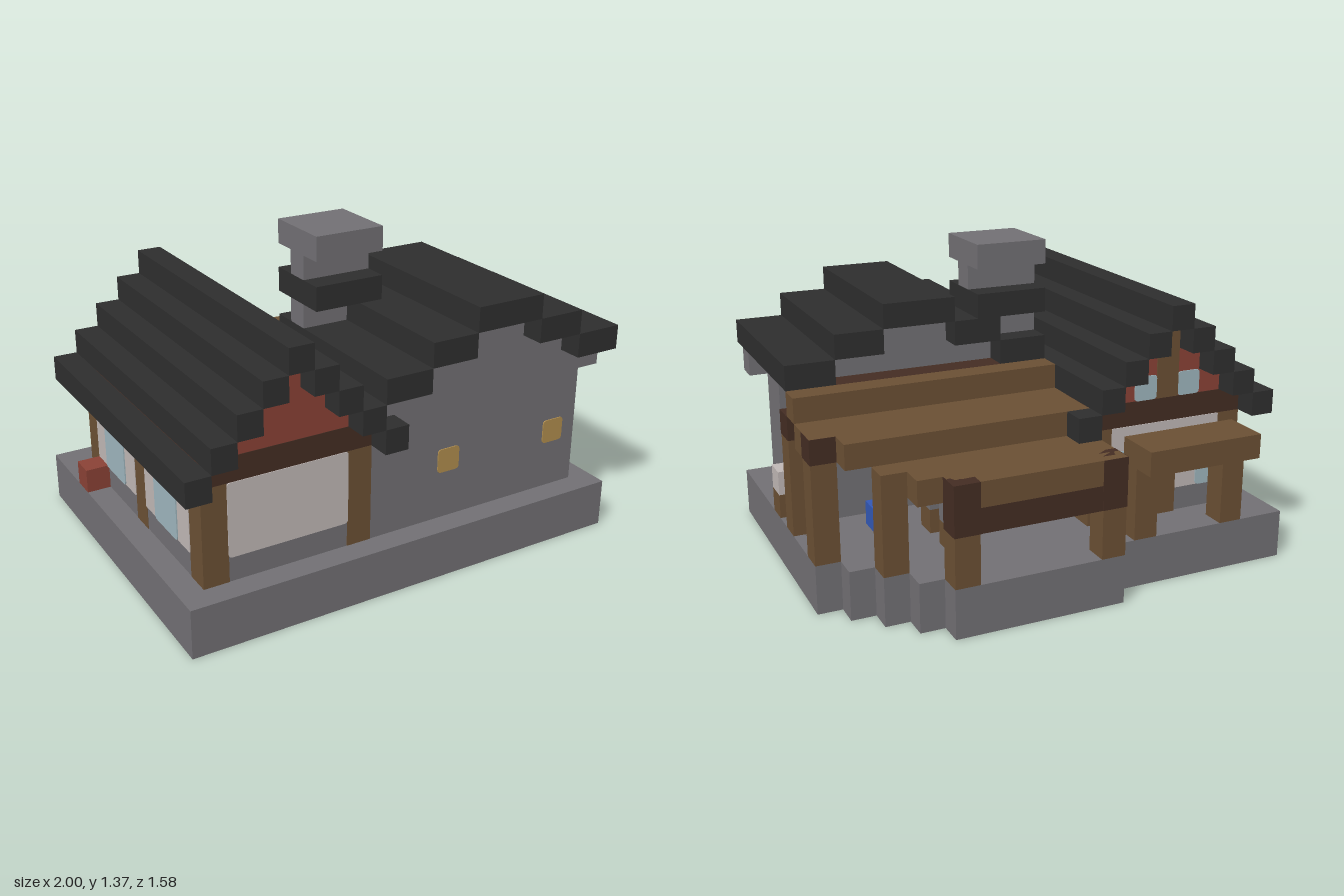
import * as THREE from 'three';

const U = 2 / 19; // one building block
const X = i => (i - 9.5) * U, Z = k => (k - 7.5) * U;

function material(name, color) {
  const m = new THREE.MeshStandardMaterial({ color });
  m.name = name;
  return m;
}

export function createModel() {
  const model = new THREE.Group();
  model.name = 'cottage';
  const slate = material('roof black', 0x2e2e2e);
  const wood = material('wood brown', 0x6b5034);
  const dark = material('dark wood', 0x442d23);
  const stone = material('stone grey', 0x727074);
  const shade = material('dark stone', 0x4d4d52);
  const white = material('plaster white', 0xc0b8b6);
  const red = material('brick red', 0x8a4236);
  const gold = material('lamp gold', 0xb08d4e);
  const glass = material('glass blue', 0x9fb6be);
  const blue = material('bright blue', 0x3358b6);

  const add = (name, geo, mat) => {
    const m = new THREE.Mesh(geo, mat);
    m.name = name;
    model.add(m);
    return m;
  };
  // Box given by its block ranges in x (i), y (j) and z (k); g grows it slightly
  const box = (name, mat, i0, i1, j0, j1, k0, k1, g = 0) => {
    const m = add(name, new THREE.BoxGeometry((i1 - i0) * U + g, (j1 - j0) * U, (k1 - k0) * U + g), mat);
    m.position.set((X(i0) + X(i1)) / 2, (j0 + j1) / 2 * U, (Z(k0) + Z(k1)) / 2);
    return m;
  };
  // Thin rounded plate on a wall; a runs along x or z, at is the wall plane
  const plate = (name, mat, side, a0, a1, j0, j1, at, r = 0.016) => {
    const w = (a1 - a0) * U / 2, h = (j1 - j0) * U / 2;
    const s = new THREE.Shape();
    s.moveTo(-w + r, -h);
    s.lineTo(w - r, -h); s.quadraticCurveTo(w, -h, w, -h + r);
    s.lineTo(w, h - r); s.quadraticCurveTo(w, h, w - r, h);
    s.lineTo(-w + r, h); s.quadraticCurveTo(-w, h, -w, h - r);
    s.lineTo(-w, -h + r); s.quadraticCurveTo(-w, -h, -w + r, -h);
    const geo = new THREE.ExtrudeGeometry(s, { depth: 0.005, bevelEnabled: false, curveSegments: 3 });
    const m = add(name, geo, mat);
    const mid = (a0 + a1) / 2, y = (j0 + j1) / 2 * U;
    if (side === 'front') m.position.set(X(mid), y, Z(at));
    if (side === 'back') { m.position.set(X(mid), y, Z(at)); m.rotation.y = Math.PI; }
    if (side === 'left') { m.position.set(X(at), y, Z(mid)); m.rotation.y = Math.PI / 2; }
    if (side === 'right') { m.position.set(X(at), y, Z(mid)); m.rotation.y = -Math.PI / 2; }
  };

  // Foundation with a stepped rear corner
  const outline = [[0, 15], [19, 15], [19, 4], [18, 4], [18, 3], [17, 3], [17, 2], [16, 2],
    [16, 1], [15, 1], [15, 0], [8, 0], [8, 1], [0, 1]];
  const baseShape = new THREE.Shape(outline.map(([i, k]) => new THREE.Vector2(X(i), -Z(k))));
  const baseGeo = new THREE.ExtrudeGeometry(baseShape, { depth: 2 * U, bevelEnabled: false });
  add('foundation', baseGeo.rotateX(-Math.PI / 2), stone);

  // Timber-framed wing
  box('wingWall', stone, 1, 8, 2, 6, 3, 14);
  box('wingBeam', dark, 1, 8, 6, 7, 3, 14, 0.004);
  for (const i of [1, 7]) for (const k of [3, 8, 13]) {
    if (i === 7 && k === 8) continue;
    box('wingPost', wood, i, i + 1, 2, 6, k, k + 1, 0.004);
  }
  plate('frontPlaster', white, 'front', 2, 7, 3, 6, 14);
  for (const k of [4, 9]) {
    plate('sidePlaster', white, 'right', k, k + 4, 3, 6, 1, 0.004);
    plate('sideWindow', glass, 'right', k + 1, k + 3, 3, 6, 0.95);
  }
  plate('backPlaster', white, 'back', 2, 7, 3, 6, 3, 0.004);
  for (const i of [2, 6]) plate('backWindow', glass, 'back', i, i + 1, 3, 5, 2.95);
  plate('backDoor', wood, 'back', 4, 5, 2, 5, 2.94, 0.004);
  plate('innerPlaster', white, 'left', 4, 7, 3, 6, 8, 0.004);

  // Red gable, stepped
  for (let n = 0; n < 3; n++) box('wingGable', red, 2 + n, 7 - n, 7 + n, 8 + n, 3, 14);
  plate('gablePost', wood, 'back', 4, 5, 7, 10, 3, 0.004);
  for (const i of [3, 5]) plate('gableWindow', glass, 'back', i, i + 1, 7, 8, 3);

  // Wing roof: stair-stepped courses
  for (let i = 0; i < 8; i++) {
    const j = 10 - Math.abs(i - 4);
    box('wingRoof', slate, i, i + 1, j, j + 1, 2, 15);
  }
  box('wingEaveFront', slate, 8, 9, 6, 7, 14, 15);
  box('wingEaveBack', slate, 8, 9, 6, 7, 2, 3);

  // Stone hall with stepped gable
  box('hallWall', stone, 8, 18, 2, 8, 8, 14);
  box('hallGable', stone, 10, 17, 8, 9, 8, 14);
  box('hallGableTop', stone, 12, 15, 9, 10, 8, 14);
  for (const [i0, i1, j] of [[8, 10, 8], [10, 12, 9], [12, 15, 10], [15, 17, 9], [17, 19, 8]])
    box('hallRoof', slate, i0, i1, j, j + 1, 7, 15);
  for (const i of [11, 16.25]) plate('frontLamp', gold, 'front', i + 0.1, i + 1.1, 4, 5, 14);
  plate('hallSideWindow', glass, 'left', 9, 10, 4, 6, 18);
  plate('hallSideDoor', shade, 'left', 8, 9, 2, 7, 18, 0.002);
  for (const k of [8, 13]) box('eaveBracket', stone, 18, 19, 7, 8, k, k + 1);
  box('barrel', wood, 18, 19, 2, 3, 9, 10);
  box('barrelTop', white, 18, 19, 3, 4, 9, 10);

  // Chimney
  box('chimneyBase', stone, 8, 10, 9, 10, 8, 9);
  box('chimneyCollar', slate, 8, 11, 10, 11, 7, 10);
  box('chimneyStem', stone, 8, 11, 11, 12, 8, 9);
  box('chimneyCap', stone, 8, 11, 12, 13, 7, 10);

  // Veranda roof, each row [k0, k1, right end, height]
  for (const [k0, k1, i1, j] of [[6, 7, 19, 7], [4, 6, 19, 6], [3, 4, 18, 6], [2, 3, 17, 5], [1, 2, 16, 5], [0, 1, 15, 5]])
    box('verandaRoof', wood, 8, i1, j, j + 1, k0, k1);
  box('verandaWallBeam', dark, 8, 18, 6, 8, 7, 8);
  box('verandaBackBeam', dark, 9, 14, 4, 5, 0, 1);

  // Veranda posts, dark at the head: [i, k, wood top, dark top]
  for (const [i, k, a, b] of [[8, 0, 4, 6], [14, 0, 4, 6], [16, 2, 5, 5], [18, 4, 6, 7], [18, 7, 6, 7]]) {
    box('verandaPost', wood, i, i + 1, 2, a, k, k + 1);
    if (b > a) box('postHead', dark, i, i + 1, a, b, k, k + 1, 0.004);
  }

  // Veranda lamps and furniture
  box('lamp', gold, 15, 16, 6, 7, 6, 7);
  box('lamp', gold, 14, 15, 5, 6, 3, 4);
  box('lamp', gold, 12, 13, 4, 5, 1, 2);
  for (const k of [3, 5]) {
    box('stool', wood, 13, 14, 2, 3, k, k + 1);
    box('stoolTop', stone, 13, 14, 3, 4, k, k + 1);
  }
  box('blueCrate', blue, 15, 16, 2, 3, 6, 7);

  // Back porch
  box('porchRoof', wood, 2, 7, 5, 6, 0, 2);
  for (const i of [2, 6]) box('porchPost', wood, i, i + 1, 2, 5, 1, 2);
  box('porchLamp', gold, 4.25, 4.75, 5, 5.6, 2.4, 2.9);
  box('redCrate', red, 0, 1, 2, 3, 4, 5);

  return model;
}
